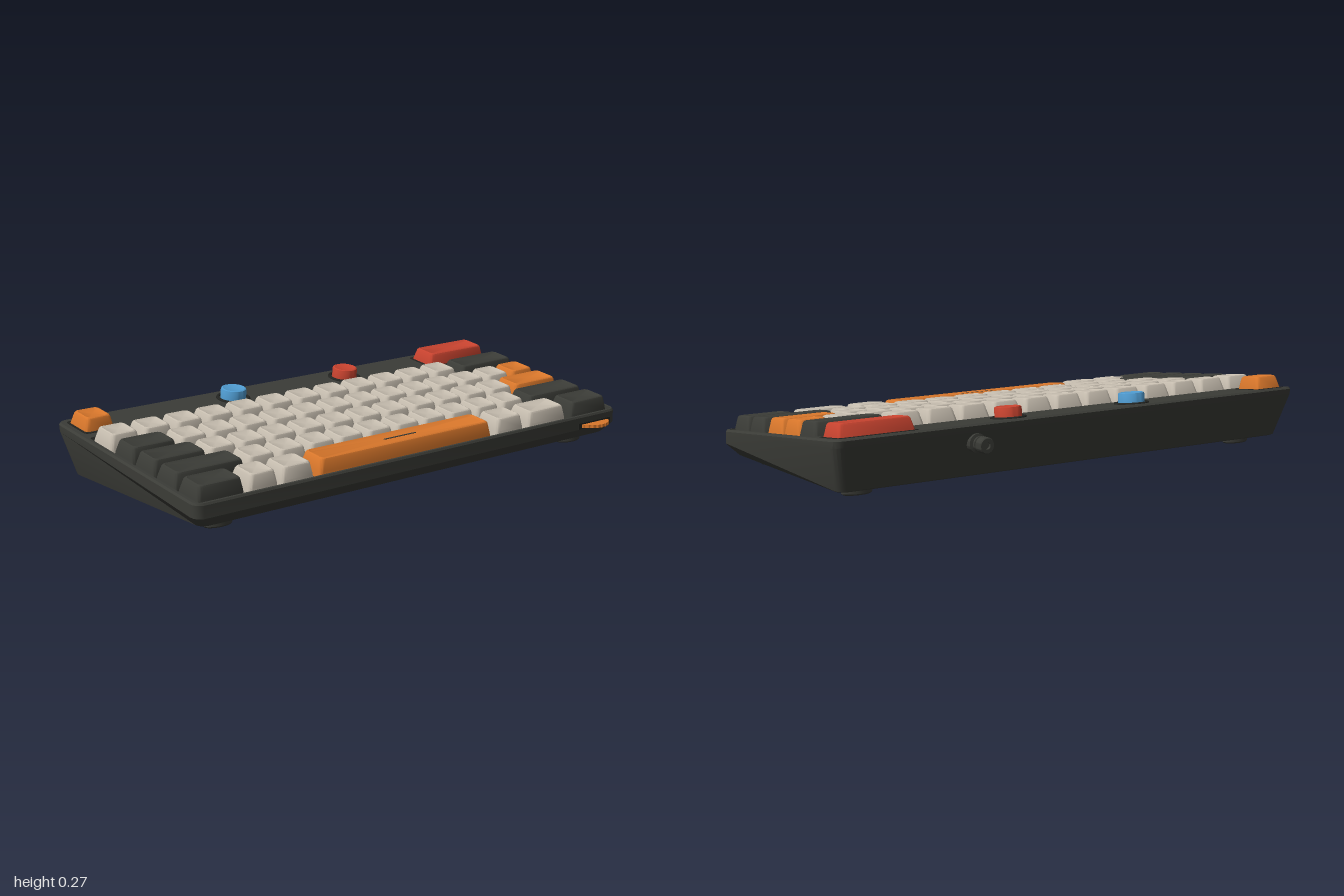
import * as THREE from 'three';
import { toCreasedNormals } from 'three/addons/utils/BufferGeometryUtils.js';

const mat = (color) => new THREE.MeshStandardMaterial({ color });
const dark = mat(0x3b3c37), black = mat(0x232421), cream = mat(0xc6bdaf);
const orange = mat(0xd9772b), red = mat(0xc8432f), blue = mat(0x4f9bd0);

const SLOPE = 0.1136;
const topY = (z) => 0.125 + (0.45 - z) * SLOPE;

// One rounded-rectangle cross-section; y is a number or a function of z
function ring(x0, x1, z0, z1, r, y) {
  const pts = [], n = 4;
  const corners = [[x1 - r, z1 - r], [x0 + r, z1 - r], [x0 + r, z0 + r], [x1 - r, z0 + r]];
  corners.forEach(([cx, cz], k) => {
    for (let i = 0; i <= n; i++) {
      const a = (k + i / n) * Math.PI / 2;
      const z = cz + r * Math.sin(a);
      pts.push([cx + r * Math.cos(a), typeof y === 'function' ? y(z) : y, z]);
    }
  });
  return pts;
}

// Skin a stack of cross-sections and close both ends
function loft(rings, crease = 0.5) {
  const centre = (pts) => {
    const c = [0, 1, 2].map((k) => pts.reduce((s, p) => s + p[k], 0) / pts.length);
    return pts.map(() => c);
  };
  const all = [centre(rings[0]), ...rings, centre(rings[rings.length - 1])];
  const n = rings[0].length, index = [];
  for (let j = 0; j < all.length - 1; j++) {
    for (let i = 0; i < n; i++) {
      const a = j * n + i, b = j * n + (i + 1) % n, c = a + n, d = b + n;
      if (j > 0) index.push(a, d, b);
      if (j < all.length - 2) index.push(a, c, d);
    }
  }
  const g = new THREE.BufferGeometry();
  g.setAttribute('position', new THREE.Float32BufferAttribute(all.flat(2), 3));
  g.setIndex(index);
  return toCreasedNormals(g, crease);
}

function add(parent, name, geometry, material, x = 0, y = 0, z = 0) {
  const m = new THREE.Mesh(geometry, material);
  m.name = name;
  m.position.set(x, y, z);
  parent.add(m);
  return m;
}

// Tapered keycap with a bevelled rim and a shallow dish
function keycap(w, d) {
  const level = (inset, y, r) => ring(-w / 2 + inset, w / 2 - inset, -d / 2 + inset, d / 2 - inset, r, y);
  return loft([
    level(0, -0.022, 0.012), level(0.003, 0.004, 0.014), level(0.011, 0.042, 0.016),
    level(0.014, 0.047, 0.016), level(0.019, 0.049, 0.015), level(0.026, 0.045, 0.012),
  ], 0.6);
}

export function createModel() {
  const model = new THREE.Group();
  model.name = 'keyboard';

  // Wedge case: tapered underside, upright band, sloping deck and sunken key well
  const crease = (z) => 0.072 + (0.45 - z) * 0.14;
  const deck = (offset) => (z) => topY(z) + offset;
  add(model, 'case', loft([
    ring(-0.955, 0.955, -0.375, 0.415, 0.03, 0.032),
    ring(-0.962, 0.962, -0.383, 0.422, 0.03, 0.036),
    ring(-1, 1, -0.433, 0.45, 0.035, crease),
    ring(-1, 1, -0.437, 0.45, 0.035, deck(-0.007)),
    ring(-0.994, 0.994, -0.43, 0.446, 0.03, deck(0)),
    ring(-0.982, 0.982, -0.235, 0.438, 0.014, deck(0)),
    ring(-0.98, 0.98, -0.233, 0.437, 0.014, deck(-0.024)),
  ], 0.4), dark);

  // Oval feet
  for (const x of [-0.84, 0.84]) {
    for (const z of [0.343, -0.28]) {
      const profile = [[0, 0], [0.9, 0], [1, 0.005], [1, 0.04]].map((p) => new THREE.Vector2(...p));
      const foot = add(model, 'foot', toCreasedNormals(new THREE.LatheGeometry(profile, 28), 0.7), dark, x, 0, z);
      foot.scale.set(0.058, 1, 0.032);
    }
  }

  // Everything on the deck shares its tilt
  const top = new THREE.Group();
  top.name = 'deckParts';
  top.position.y = topY(0);
  top.rotation.x = Math.atan(SLOPE);
  model.add(top);

  const key = (name, x0, x1, z, material) =>
    add(top, name, keycap(x1 - x0, 0.125), material, (x0 + x1) / 2, 0, z);

  // Each row: depth position, first and last centre of the plain keys, and their number
  const rows = [
    [-0.162, -0.912, 0.596, 12], [-0.024, -0.714, 0.757, 12],
    [0.107, -0.682, 0.65, 11], [0.238, -0.612, 0.586, 10],
  ];
  for (const [z, first, last, count] of rows) {
    for (let i = 0; i < count; i++) {
      const x = first + (last - first) * i / (count - 1);
      key('letterKey', x - 0.064, x + 0.064, z, cream);
    }
  }

  // Wider and coloured keys
  const special = [
    ['backspaceKey', 0.68, 0.967, -0.162, dark],
    ['tabKey', -0.977, -0.783, -0.024, dark], ['slashKey', 0.826, 0.957, -0.024, orange],
    ['helpKey', -0.977, -0.747, 0.107, dark], ['enterKey', 0.718, 0.957, 0.107, orange],
    ['leftShiftKey', -0.977, -0.682, 0.238, dark], ['rightShiftKey', 0.67, 0.967, 0.238, dark],
    ['controlKey', -0.977, -0.783, 0.37, dark], ['functionKey', -0.768, -0.643, 0.37, cream],
    ['altKey', -0.63, -0.49, 0.37, cream], ['spaceBar', -0.468, 0.345, 0.37, orange],
    ['altKey', 0.37, 0.512, 0.37, cream], ['modifierKey', 0.537, 0.738, 0.37, cream],
    ['controlKey', 0.765, 0.967, 0.37, dark],
    ['escapeKey', -0.968, -0.845, -0.342, orange], ['clearKey', 0.67, 0.97, -0.342, red],
  ];
  special.forEach((s) => key(...s));
  add(top, 'spaceBarMark', new THREE.BoxGeometry(0.15, 0.002, 0.006), dark, -0.06, 0.0455, 0.37);

  // Dark surrounds of the two keys in the back strip
  for (const [x0, x1] of [[-0.975, -0.838], [0.663, 0.977]]) {
    add(top, 'keySurround', loft([
      ring(x0, x1, -0.412, -0.272, 0.015, -0.01), ring(x0, x1, -0.412, -0.272, 0.015, 0.0015),
    ]), black);
  }

  // Round player buttons in dark collars
  const buttonProfile = [[0.049, -0.01], [0.049, 0.034], [0.047, 0.039], [0.042, 0.041], [0.036, 0.039], [0, 0.037]];
  const collarProfile = [[0.066, -0.005], [0.065, 0.003], [0.061, 0.006], [0.054, 0.005], [0.052, -0.005]];
  const lathe = (pts) => toCreasedNormals(
    new THREE.LatheGeometry(pts.map((p) => new THREE.Vector2(...p)), 40), 0.6);
  for (const [x, material] of [[-0.28, blue], [0.265, red]]) {
    add(top, 'buttonCollar', lathe(collarProfile), black, x, 0, -0.347);
    add(top, 'roundButton', lathe(buttonProfile), material, x, 0, -0.347);
  }

  // Knurled thumb wheel poking out of a slot in the front edge
  add(model, 'wheelSlot', new THREE.BoxGeometry(0.176, 0.024, 0.02), black, 0.875, 0.085, 0.4415);
  const wheelShape = new THREE.Shape();
  for (let i = 0; i < 96; i++) {
    const a = i / 96 * Math.PI * 2, r = i % 4 < 2 ? 0.08 : 0.077;
    wheelShape[i ? 'lineTo' : 'moveTo'](r * Math.cos(a), r * Math.sin(a));
  }
  const wheel = add(model, 'thumbWheel', new THREE.ExtrudeGeometry(wheelShape,
    { depth: 0.012, bevelEnabled: false }), orange, 0.875, 0.091, 0.418);
  wheel.rotation.x = Math.PI / 2;

  // Cable strain relief with ribs at the back
  const relief = [[0, 0], [0.034, 0], [0.034, 0.03], [0.022, 0.032], [0.022, 0.038], [0.027, 0.04], [0.027, 0.047],
    [0.022, 0.049], [0.022, 0.056], [0.029, 0.058], [0.029, 0.086], [0.026, 0.09], [0.012, 0.09], [0.012, 0.08], [0, 0.08]];
  const plug = add(model, 'cableRelief', lathe(relief), dark, 0.452, 0.158, -0.41);
  plug.rotation.x = -Math.PI / 2;

  return model;
}
